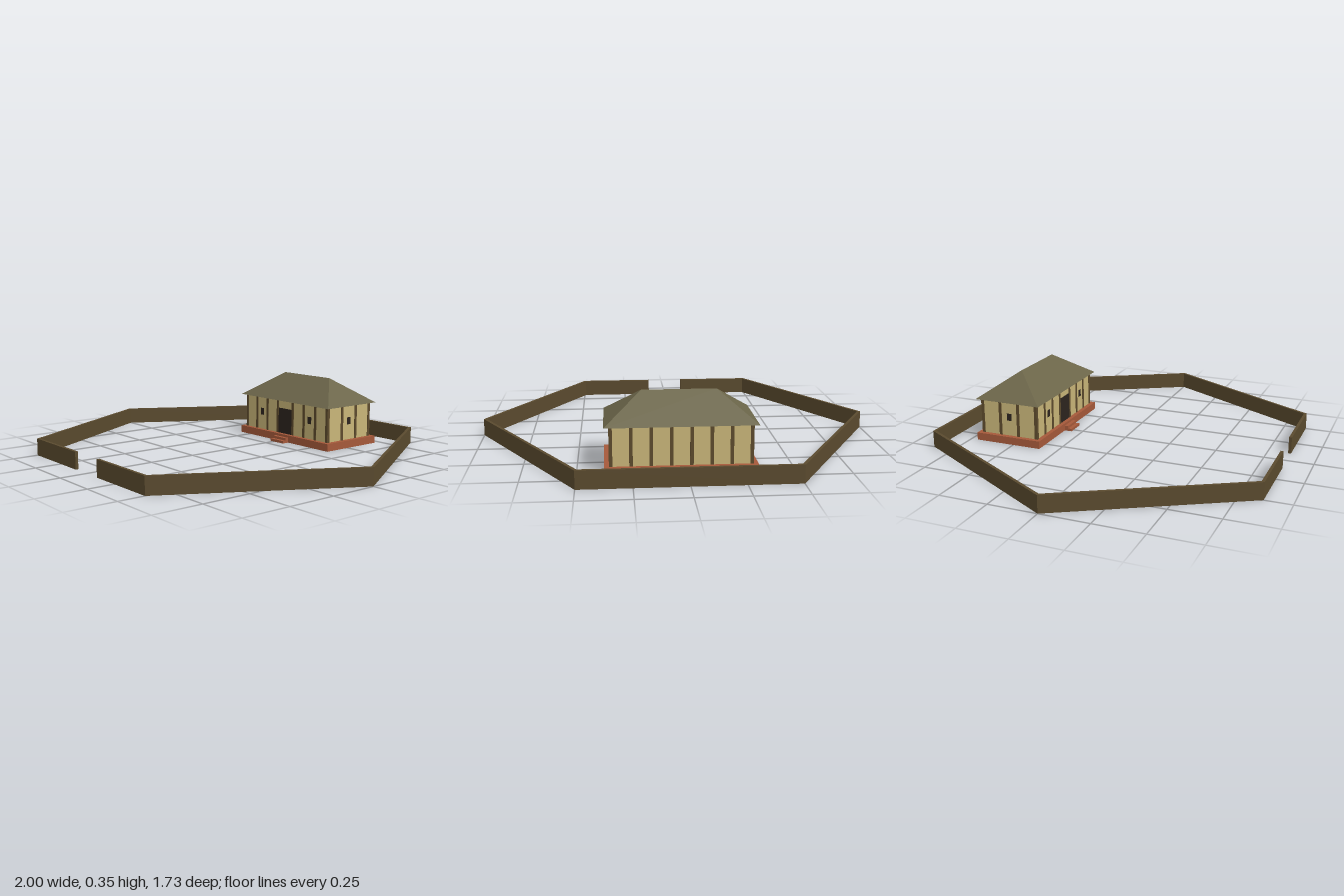
import * as THREE from 'three';

const mat = (color) => new THREE.MeshStandardMaterial({ color, flatShading: true, side: THREE.DoubleSide });
const MATS = {
  wood: mat(0x5a4a2e), post: mat(0x5c4a2c), plaster: mat(0xc8b578),
  brick: mat(0xa5593a), dark: mat(0x2c241e), roof: mat(0x6b6549),
};

// House centre, and half sizes of the plinth/eaves and of the walls
const CX = 0.025, CZ = -0.53;
const EAVE = [0.35, 0.183], WALL = [0.325, 0.16];
const FLOOR = 0.04, WALL_TOP = 0.225, RIDGE = 0.355;

function add(parent, name, geometry, material) {
  const mesh = new THREE.Mesh(geometry, material);
  mesh.name = name;
  parent.add(mesh);
  return mesh;
}

function box(parent, name, material, [w, h, d], [x, y, z]) {
  add(parent, name, new THREE.BoxGeometry(w, h, d), material).position.set(x, y, z);
}

// Extrude a plan outline upward from y0 to y1
function raise(shape, y0, y1) {
  return new THREE.ExtrudeGeometry(shape, { depth: y1 - y0, bevelEnabled: false })
    .rotateX(-Math.PI / 2).translate(0, y0, 0);
}

const rectPoints = (hx, hz) =>
  [[-hx, -hz], [hx, -hz], [hx, hz], [-hx, hz]].map(([x, y]) => new THREE.Vector2(x, y));

// Open rectangular frame
function frame([hx, hz], t, y0, y1) {
  const shape = new THREE.Shape(rectPoints(hx, hz));
  shape.holes.push(new THREE.Path(rectPoints(hx - t, hz - t).reverse()));
  return raise(shape, y0, y1);
}

// Hexagonal enclosure with a gateway in the front side
function fence() {
  const gate = 0.1, s = Math.sqrt(3) / 2;
  const run = (r) => {
    const pts = [new THREE.Vector2(gate, -r * s)];
    for (let i = 0; i < 6; i++) {
      const a = (-60 + i * 60) * Math.PI / 180;
      pts.push(new THREE.Vector2(r * Math.cos(a), r * Math.sin(a)));
    }
    pts.push(new THREE.Vector2(-gate, -r * s));
    return pts;
  };
  return raise(new THREE.Shape([...run(1), ...run(0.983).reverse()]), 0, 0.087);
}

// Hipped roof, open underneath
function hipRoof() {
  const [hx, hz] = EAVE, rx = 0.175;
  const geo = new THREE.BufferGeometry();
  geo.setAttribute('position', new THREE.Float32BufferAttribute([
    -hx, WALL_TOP, -hz, hx, WALL_TOP, -hz, hx, WALL_TOP, hz, -hx, WALL_TOP, hz,
    -rx, RIDGE, 0, rx, RIDGE, 0,
  ], 3));
  geo.setIndex([3, 2, 5, 3, 5, 4, 2, 1, 5, 1, 0, 4, 1, 4, 5, 0, 3, 4]);
  const flat = geo.toNonIndexed();
  flat.computeVertexNormals();
  return flat;
}

export function createModel() {
  const model = new THREE.Group();
  model.name = 'walledHouse';
  add(model, 'fence', fence(), MATS.wood);

  const house = new THREE.Group();
  house.name = 'house';
  house.position.set(CX, 0, CZ);
  model.add(house);

  add(house, 'plinth', frame(EAVE, 0.035, 0, FLOOR), MATS.brick);
  add(house, 'walls', frame(WALL, 0.01, FLOOR, WALL_TOP), MATS.plaster);
  add(house, 'roof', hipRoof(), MATS.roof);

  // Entrance steps
  box(house, 'upperStep', MATS.brick, [0.1, 0.027, 0.02], [0, 0.0135, EAVE[1] + 0.01]);
  box(house, 'lowerStep', MATS.brick, [0.1, 0.0135, 0.04], [0, 0.00675, EAVE[1] + 0.02]);

  // Timber posts, standing slightly proud of the walls on both faces
  const h = WALL_TOP - FLOOR, midY = (WALL_TOP + FLOOR) / 2, t = 0.016;
  const [wx, wz] = [WALL[0] - 0.005, WALL[1] - 0.005];
  const post = (x, z) => box(house, 'post', MATS.post, [t, h, t], [x, midY, z]);
  for (const side of [-1, 1]) {
    for (const x of [0.06, 0.147, 0.235]) post(side * x, wz);
    for (const z of [-0.052, 0.052]) post(side * wx, z);
    for (const z of [-wz, wz]) post(side * wx, z);
  }
  for (let i = 1; i < 7; i++) post(-wx + (2 * wx * i) / 7, -wz);

  // Door and small windows, showing on both wall faces
  box(house, 'door', MATS.dark, [0.108, 0.14, 0.014], [0, FLOOR + 0.07, wz]);
  for (const side of [-1, 1]) {
    box(house, 'frontWindow', MATS.dark, [0.026, 0.038, 0.014], [side * 0.191, 0.141, wz]);
    box(house, 'sideWindow', MATS.dark, [0.014, 0.038, 0.026], [side * wx, 0.141, 0]);
  }
  return model;
}
